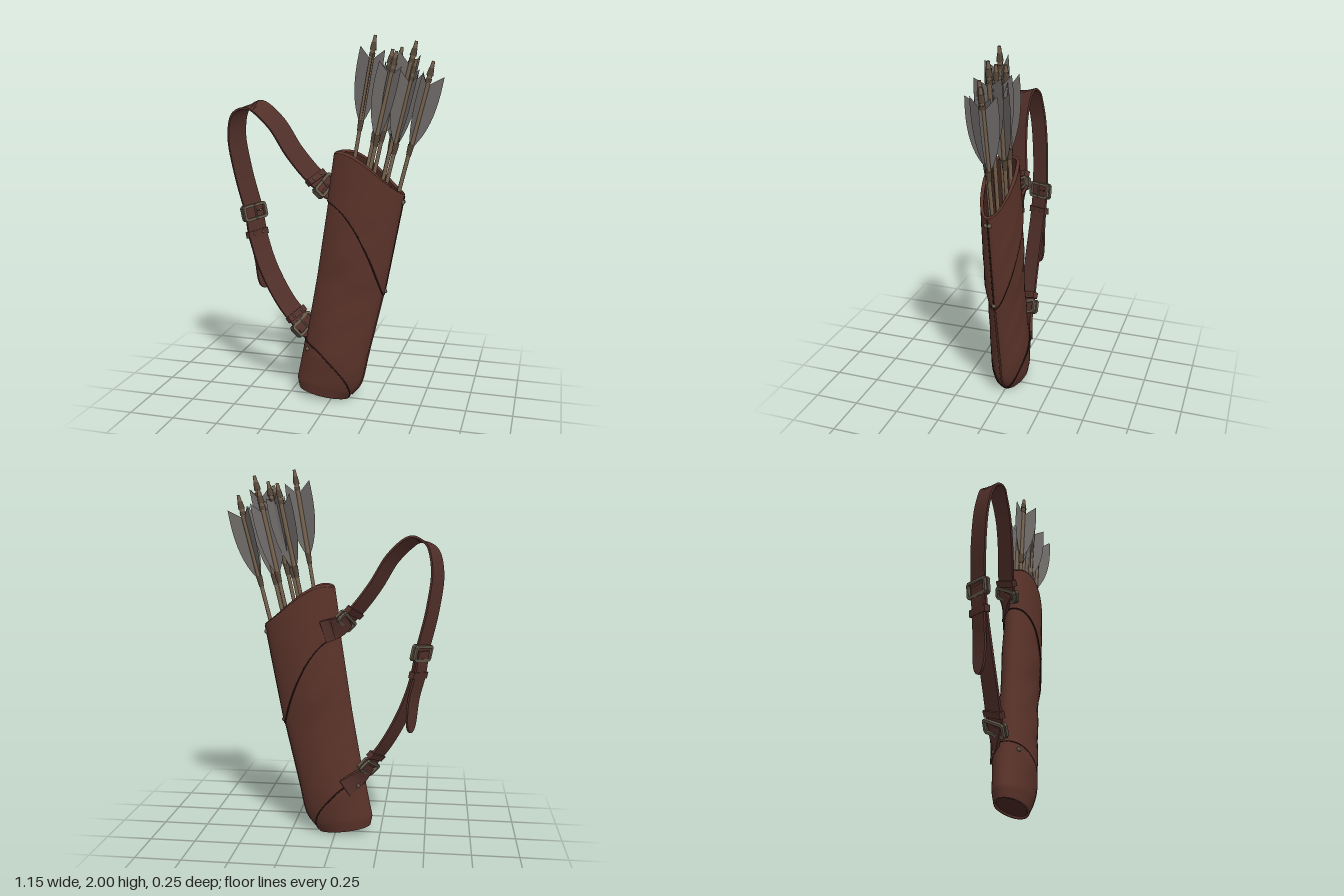
import * as THREE from 'three';
import { toCreasedNormals } from 'three/addons/utils/BufferGeometryUtils.js';

const V = (x, y, z) => new THREE.Vector3(x, y, z);
const mat = (name, color, side = THREE.FrontSide) => {
  const m = new THREE.MeshStandardMaterial({ color, side });
  m.name = name;
  return m;
};
const M = {
  leather: mat('leather', 0x5a332a, THREE.DoubleSide),
  strap: mat('strapLeather', 0x52302a),
  edge: mat('darkEdge', 0x2c1915),
  lining: mat('lining', 0x452620, THREE.DoubleSide),
  metal: mat('agedMetal', 0x655a4b),
  wood: mat('wood', 0x78644f),
  binding: mat('binding', 0x57483a),
  feather: mat('feather', 0x6e6a68, THREE.DoubleSide),
};

function add(parent, name, geo, material) {
  const m = new THREE.Mesh(geo, material);
  m.name = name;
  parent.add(m);
  return m;
}

// skin over a list of closed rings
function loft(rings, crease) {
  const n = rings[0].length, idx = [];
  for (let j = 0; j < rings.length - 1; j++)
    for (let i = 0; i < n; i++) {
      const a = j * n + i, b = j * n + (i + 1) % n;
      idx.push(a, a + n, b, b, a + n, b + n);
    }
  const g = new THREE.BufferGeometry().setFromPoints(rings.flat());
  g.setIndex(idx);
  g.computeVertexNormals();
  return crease ? toCreasedNormals(g, crease) : g;
}

// piecewise linear lookup in [position, value] pairs
function table(pairs, t) {
  let k = 0;
  while (k < pairs.length - 2 && t > pairs[k + 1][0]) k++;
  const [t0, a] = pairs[k], [t1, b] = pairs[k + 1];
  return a + (b - a) * THREE.MathUtils.clamp((t - t0) / (t1 - t0), 0, 1);
}
const LEFT = [[0, -0.19], [0.04, -0.2], [0.17, -0.165], [0.49, -0.09], [0.79, -0.03], [1, 0.01]];
const RIGHT = [[0, 0.085], [0.04, 0.135], [0.09, 0.17], [0.22, 0.2], [0.54, 0.285], [1, 0.384]];
const DEPTH = [[0, 0.075], [0.05, 0.09], [0.17, 0.105], [0.28, 0.098], [0.5, 0.087], [0.62, 0.095], [0.82, 0.09], [1, 0.08]];

// point on the leather body: angle a around, v from base to rim, off = outward offset
function body(a, v, off = 0) {
  const c = Math.cos(a), s = Math.sin(a), u = (c + 1) / 2;
  const l = table(LEFT, v), r = table(RIGHT, v);
  const fold = 0.004 * Math.sin(3 * a + 17 * v) * Math.sin(23 * v + 2 * a) * Math.sin(Math.PI * Math.min(1, v));
  const half = (r - l) / 2 + off;
  const y = THREE.MathUtils.lerp(0.05 + 1.335 * v, 0.005 + 1.175 * v, u)
    + 0.045 * Math.pow(v, 6) * (1 - c * c) * (1 - 0.8 * c);
  const z = (table(DEPTH, v) + off + fold) * s * (1 - 0.12 * Math.max(0, c)) - 0.01 * v;
  return V((l + r) / 2 + half * c, y, z);
}
const SEG = 40;
const ring = (f) => Array.from({ length: SEG }, (_, i) => f(i / SEG * Math.PI * 2));
const upperEdge = (a) => 0.81 - 0.285 * Math.pow((Math.cos(a) + 1) / 2, 2.3);
const lowerEdge = (a) => 0.21 * (1 - Math.pow((Math.cos(a) + 1) / 2, 2)) + 0.005;

function tubeThrough(points, r, closed) {
  return new THREE.TubeGeometry(new THREE.CatmullRomCurve3(points, closed), points.length * 2, r, 5, closed);
}

function buildBody(g) {
  const rows = 28, outer = [], inner = [], up = [], low = [];
  for (let j = 0; j <= rows; j++) {
    const t = j / rows;
    outer.push(ring((a) => body(a, t)));
    inner.push(ring((a) => body(a, 1 - 0.95 * t, -0.012)));
    up.push(ring((a) => body(a, THREE.MathUtils.lerp(upperEdge(a), 1, t), 0.006)));
    low.push(ring((a) => body(a, lowerEdge(a) * t, 0.006)));
  }
  add(g, 'quiverBody', loft(outer), M.leather);
  add(g, 'quiverLining', loft(inner), M.lining);
  add(g, 'upperWrap', loft(up), M.leather);
  add(g, 'lowerWrap', loft(low), M.leather);
  add(g, 'rim', loft([ring((a) => body(a, 1, 0.007)), ring((a) => body(a, 1.008, -0.003)), ring((a) => body(a, 1, -0.013))]), M.leather);
  // base plate, set slightly into the wall
  add(g, 'base', loft([ring((a) => body(a, 0.015, -0.09).lerp(V(-0.05, 0.035, 0), 1)), ring((a) => body(a, 0.008, 0))]), M.lining);
  add(g, 'baseWelt', tubeThrough(ring((a) => body(a, 0.004, -0.002)), 0.008, true), M.leather);
  add(g, 'upperWrapEdge', tubeThrough(ring((a) => body(a, upperEdge(a), 0.003)), 0.0045, true), M.edge);
  add(g, 'lowerWrapEdge', tubeThrough(ring((a) => body(a, lowerEdge(a), 0.003)), 0.0045, true), M.edge);
  const seam = (v0, v1, off) => Array.from({ length: 10 }, (_, i) => body(0, v0 + (v1 - v0) * i / 9, off));
  add(g, 'upperSeam', tubeThrough(seam(0.53, 0.995, 0.005), 0.005, false), M.edge);
  add(g, 'lowerSeam', tubeThrough(seam(0.02, 0.53, 0), 0.006, false), M.leather);
  // rivets on the seam and wraps
  for (const [a, v] of [[0, 0.545], [0.12, 0.965], [-0.12, 0.965], [2.5, 0.19], [-2.5, 0.19]]) {
    const rivet = add(g, 'rivet', new THREE.SphereGeometry(0.012, 10, 8), M.metal);
    rivet.position.copy(body(a, v, 0.006));
  }
}

const WIDE = V(-0.5, -0.25, 0.83);
const across = (T, w) => w.clone().addScaledVector(T, -w.dot(T)).normalize();

// flat band along a path; width may vary, wide direction blends from w0 to w1
function band(points, width, thick, w0 = WIDE, w1 = w0, n = 48) {
  const curve = new THREE.CatmullRomCurve3(points.map((p) => V(...p)));
  const rings = [];
  for (let k = -1; k <= n + 1; k++) {
    const t = THREE.MathUtils.clamp(k / n, 0, 1), end = k < 0 || k > n ? 0 : 1;
    const p = curve.getPointAt(t), T = curve.getTangentAt(t);
    const W = across(T, w0.clone().lerp(w1, t)), N = T.clone().cross(W);
    const w = end * width(t) / 2, h = end * thick / 2;
    rings.push([[-w, h], [w, h], [w, -h], [-w, -h]].map(([x, y]) =>
      p.clone().addScaledVector(W, x).addScaledVector(N, y)));
  }
  return loft(rings, 0.6);
}

function frame(w, h, bar) {
  const s = new THREE.Shape(), hole = new THREE.Path();
  const rect = (p, x, y, c) => p.moveTo(-x + c, -y).lineTo(x - c, -y).lineTo(x, -y + c).lineTo(x, y - c)
    .lineTo(x - c, y).lineTo(-x + c, y).lineTo(-x, y - c).lineTo(-x, -y + c).closePath();
  rect(s, w / 2, h / 2, bar * 0.8);
  rect(hole, w / 2 - bar, h / 2 - bar, bar * 0.3);
  s.holes.push(hole);
  return new THREE.ExtrudeGeometry(s, { depth: 0.014, bevelEnabled: false }).translate(0, 0, -0.007);
}

// group whose x runs across the strap, y along it, z out of it
function onStrap(g, name, pos, dir) {
  const T = V(...dir).normalize(), W = across(T, WIDE), N = W.clone().cross(T);
  const o = new THREE.Group();
  o.name = name;
  o.quaternion.setFromRotationMatrix(new THREE.Matrix4().makeBasis(W, T, N));
  o.position.set(...pos);
  g.add(o);
  return o;
}

function buildStrap(g) {
  const full = () => 0.12;
  add(g, 'shoulderStrap', band([[-0.05, 1.2, -0.03], [-0.12, 1.27, -0.01], [-0.21, 1.39, 0.02], [-0.31, 1.55, 0.04],
    [-0.42, 1.635, 0.045], [-0.505, 1.6, 0.035], [-0.54, 1.48, 0.015], [-0.52, 1.28, -0.01], [-0.465, 1.04, -0.03]],
  full, 0.012, WIDE, WIDE, 64), M.strap);
  add(g, 'lowerStrap', band([[-0.465, 1.04, -0.03], [-0.44, 0.9, -0.025], [-0.38, 0.72, -0.02], [-0.28, 0.53, -0.025],
    [-0.18, 0.4, -0.04]], full, 0.012), M.strap);
  add(g, 'strapTongue', band([[-0.475, 1.05, -0.03], [-0.458, 0.92, -0.03], [-0.425, 0.78, -0.035], [-0.412, 0.6, -0.04]],
    (t) => 0.1 * Math.sqrt(Math.max(0.02, 1 - Math.pow(t, 10))), 0.012), M.strap);
  // tabs sewn to the body
  const flat = V(-0.3, -1, 0.05);
  add(g, 'upperTab', band([[-0.07, 1.22, -0.03], [-0.025, 1.18, -0.06], [0.06, 1.15, -0.088]], full, 0.016, WIDE, flat, 12), M.strap);
  add(g, 'lowerTab', band([[-0.19, 0.41, -0.04], [-0.145, 0.35, -0.06], [-0.06, 0.29, -0.105]], () => 0.1, 0.016, WIDE, flat, 12), M.strap);
  // metal buckles and leather keepers
  const buckles = [['middleBuckle', [-0.465, 1.04, -0.03], [0.2, -1, 0], 0.09],
    ['upperBuckle', [-0.055, 1.205, -0.028], [0.65, -0.7, -0.2], 0.07],
    ['lowerBuckle', [-0.185, 0.4, -0.04], [0.65, -0.7, -0.1], 0.08]];
  for (const [name, pos, dir, h] of buckles) {
    const o = onStrap(g, name, pos, dir);
    for (const z of [-0.011, 0.011]) add(o, 'buckleFrame', frame(0.155, h, 0.015), M.metal).position.z = z;
    add(o, 'bucklePin', new THREE.CylinderGeometry(0.005, 0.005, h, 6), M.metal).position.z = 0.016;
  }
  for (const [pos, dir] of [[[-0.449, 0.92, -0.028], [0.2, -1, 0]], [[-0.225, 0.46, -0.033], [0.6, -0.75, 0]],
    [[-0.1, 1.25, -0.015], [0.65, -0.75, 0]]]) {
    const o = onStrap(g, 'keeperLoop', pos, dir);
    add(o, 'loop', new THREE.BoxGeometry(0.132, 0.035, 0.034), M.strap);
    for (const x of [-0.03, 0.03]) add(o, 'stud', new THREE.SphereGeometry(0.007, 8, 6), M.metal).position.set(x, 0, 0.017);
  }
}

function buildArrow(g, tip, foot, twist) {
  const top = V(...tip), dir = top.clone().sub(V(...foot)), len = dir.length();
  const o = new THREE.Group();
  o.name = 'arrow';
  o.position.copy(top);
  o.quaternion.setFromUnitVectors(V(0, 1, 0), dir.normalize());
  o.rotateY(twist);
  g.add(o);
  const rod = (name, r0, r1, s0, s1, m) =>
    add(o, name, new THREE.CylinderGeometry(r0, r1, s1 - s0, 8), m).position.y = -(s0 + s1) / 2;
  rod('shaft', 0.011, 0.01, 0.08, len, M.wood);
  rod('nockTip', 0.008, 0.012, 0, 0.04, M.wood);
  rod('nock', 0.013, 0.018, 0.035, 0.075, M.binding);
  rod('sleeve', 0.013, 0.014, 0.07, 0.46, M.wood);
  rod('topBinding', 0.016, 0.016, 0.09, 0.11, M.binding);
  rod('lowBinding', 0.017, 0.013, 0.44, 0.5, M.binding);
  // three vanes, swept toward the nock
  const vane = new THREE.Shape();
  vane.moveTo(0.01, -0.12).lineTo(0.075, -0.065);
  vane.bezierCurveTo(0.085, -0.2, 0.08, -0.34, 0.012, -0.45);
  vane.closePath();
  for (let k = 0; k < 3; k++) add(o, 'vane', new THREE.ShapeGeometry(vane, 10), M.feather).rotation.y = k * Math.PI * 2 / 3;
}

export function createModel() {
  const g = new THREE.Group();
  g.name = 'arrowQuiver';
  buildBody(g);
  buildStrap(g);
  const arrows = [
    [[0.22, 2.0, -0.02], [-0.08, 0.15, 0.0], 2.9], [[0.3, 1.93, -0.08], [-0.06, 0.15, -0.03], 0.4],
    [[0.335, 1.92, 0.0], [-0.04, 0.15, 0.03], 1.3], [[0.355, 1.94, -0.05], [-0.02, 0.15, -0.02], 2.2],
    [[0.43, 1.97, -0.04], [0.02, 0.15, 0.01], 3.3], [[0.4, 1.9, -0.085], [0.02, 0.15, -0.04], 0.9],
    [[0.44, 1.88, 0.0], [0.05, 0.15, 0.03], 5.2], [[0.52, 1.87, -0.035], [0.1, 0.15, -0.01], 0.15],
  ];
  for (const a of arrows) buildArrow(g, ...a);
  return g;
}
